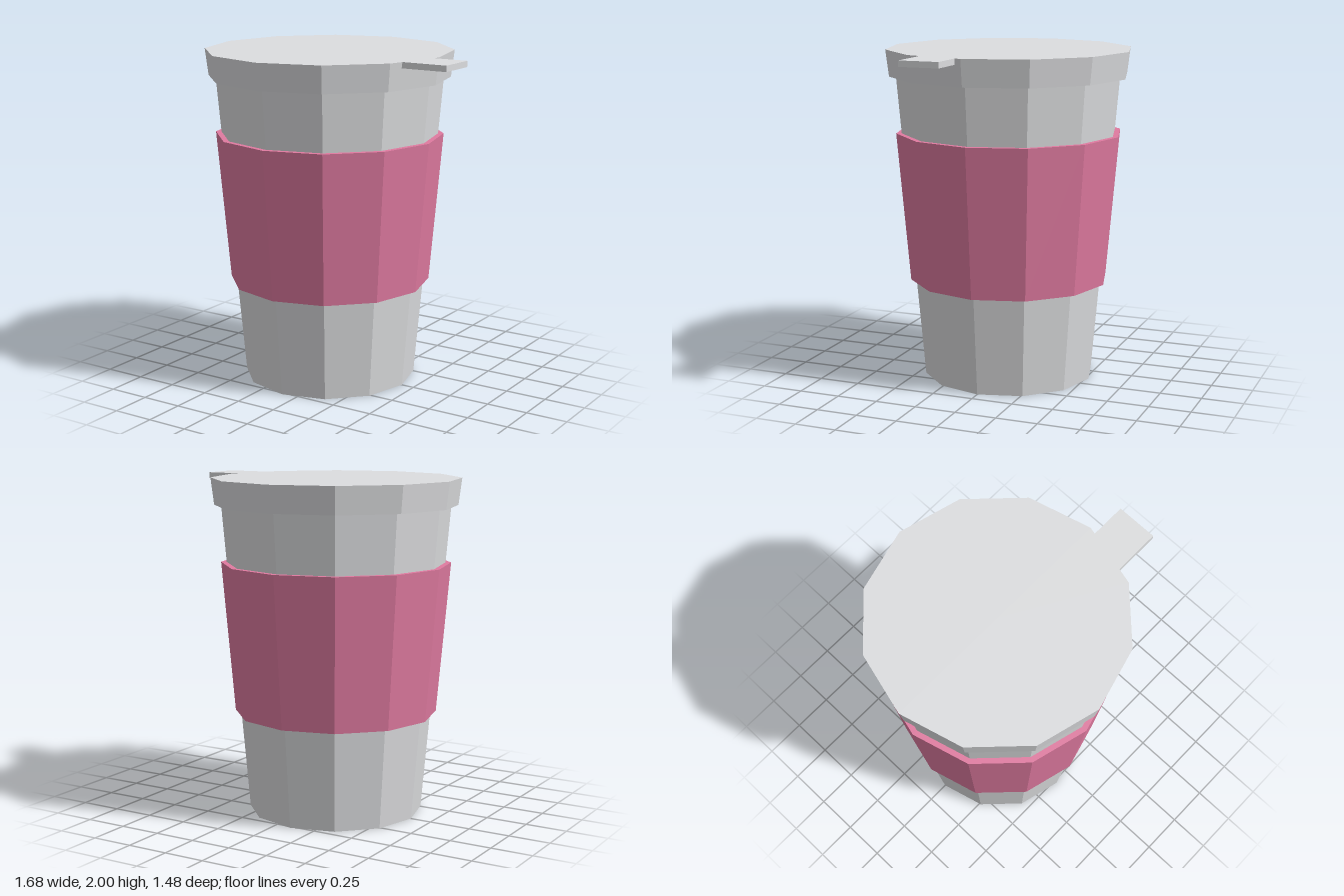
import * as THREE from 'three';

const SIDES = 12;

export function createModel() {
  const group = new THREE.Group();
  group.name = 'travelCup';

  const grey = new THREE.MeshStandardMaterial({ color: 0xdcdddf, flatShading: true });
  grey.name = 'light grey';
  const pink = new THREE.MeshStandardMaterial({ color: 0xdf7aa0, flatShading: true });
  pink.name = 'pink';

  const add = (name, geometry, material, x, y, z = 0) => {
    const mesh = new THREE.Mesh(geometry, material);
    mesh.name = name;
    mesh.position.set(x, y, z);
    group.add(mesh);
  };

  // Tapered twelve-sided section between two heights, on the cup's axis
  const section = (name, material, y0, r0, y1, r1) =>
    add(name, new THREE.CylinderGeometry(r1, r0, y1 - y0, SIDES), material, -0.1, (y0 + y1) / 2);

  section('cupBody', grey, 0, 0.52, 1.85, 0.68);
  section('sleeve', pink, 0.6, 0.605, 1.5, 0.683);
  section('lid', grey, 1.84, 0.72, 2, 0.74);

  // Flat tab on the lid's rim, level with its top
  add('lidTab', new THREE.BoxGeometry(0.29, 0.035, 0.24), grey, 0.695, 1.9825, 0.16);

  return group;
}
